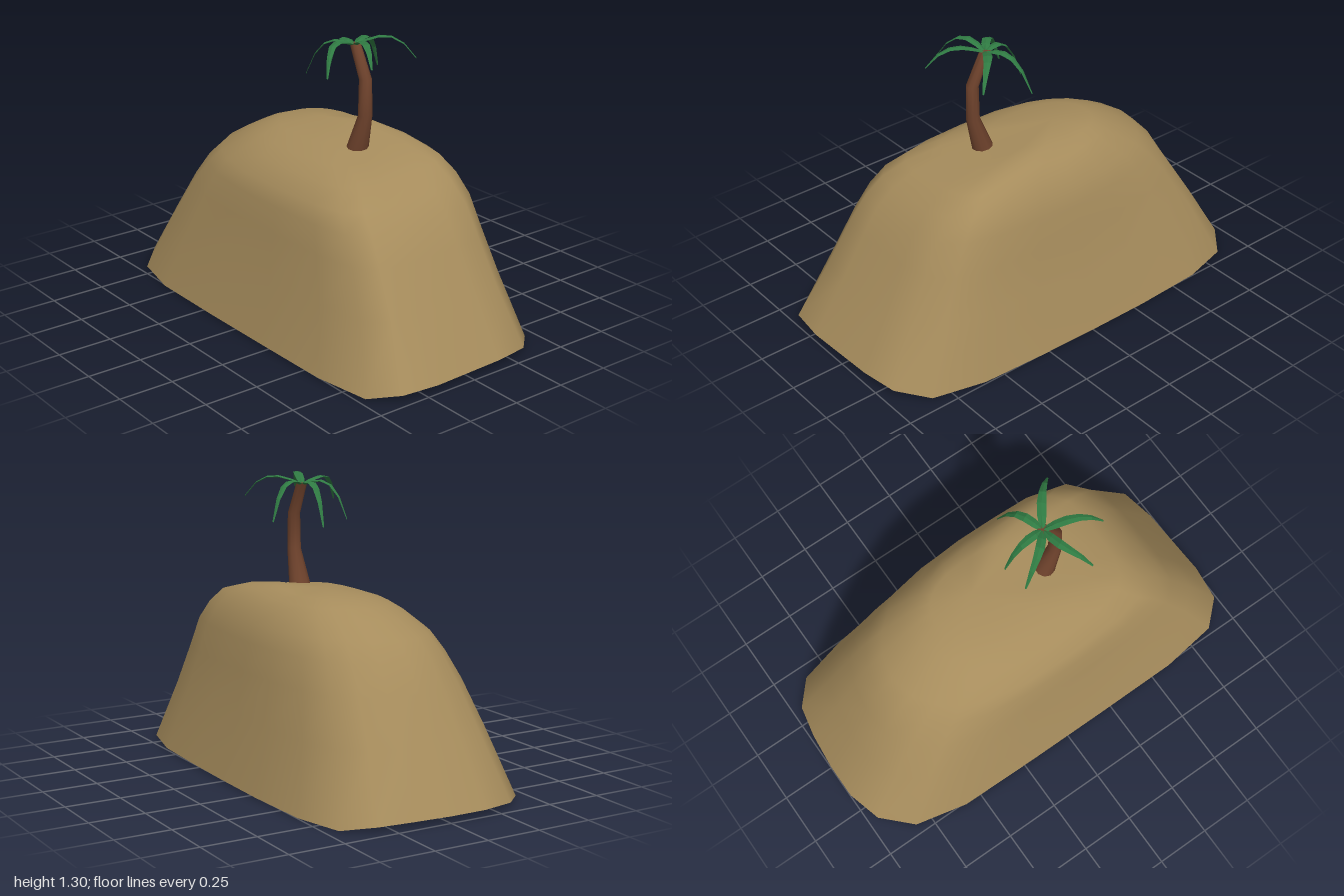
import * as THREE from 'three';
import { mergeVertices, toCreasedNormals } from 'three/addons/utils/BufferGeometryUtils.js';

// Skin a list of cross-sections (each an equal-length list of Vector3)
function loft(rings) {
  const n = rings[0].length;
  const pos = rings.flat().flatMap((p) => [p.x, p.y, p.z]);
  const index = [];
  for (let i = 0; i < rings.length - 1; i++) {
    for (let j = 0; j < n; j++) {
      const a = i * n + j, b = i * n + ((j + 1) % n), c = a + n, d = b + n;
      index.push(a, c, b, b, c, d);
    }
  }
  const g = new THREE.BufferGeometry();
  g.setAttribute('position', new THREE.Float32BufferAttribute(pos, 3));
  g.setIndex(index);
  const merged = mergeVertices(g, 1e-5);
  merged.computeVertexNormals();
  return merged;
}

// Ground outline of the mound, as x, z pairs
const HALF_WIDTH = 0.515;
const OUTLINE = [
  [0, -1], [0.17, -0.985], [0.32, -0.955], [0.44, -0.855], [0.498, -0.63], [0.514, -0.3],
  [0.515, 0], [0.51, 0.3], [0.498, 0.6], [0.44, 0.84], [0.32, 0.955], [0.15, 0.985],
  [-0.2, 1], [-0.37, 0.98], [-0.475, 0.87], [-0.512, 0.6], [-0.515, 0.2], [-0.515, -0.2],
  [-0.51, -0.58], [-0.455, -0.825], [-0.33, -0.955], [-0.17, -1],
];

// Open shell of rings; the back corners round off with height
function mound() {
  // half width, half length, height, centre x, centre z, sideways tilt, rounding
  const levels = [
    [0.515, 1, 0, 0, 0, 0, 0],
    [0.443, 0.86, 0.29, 0, 0, 0, 0.15],
    [0.41, 0.757, 0.48, 0, 0, 0, 0.4],
    [0.387, 0.685, 0.6, 0, 0, 0.02, 0.65],
    [0.362, 0.605, 0.677, 0, 0, 0.03, 0.8],
    [0.307, 0.505, 0.744, 0.015, 0.01, 0.03, 0.9],
    [0.25, 0.385, 0.784, 0.03, -0.03, 0.03, 0.9],
    [0.17, 0.23, 0.814, 0.05, -0.1, 0.03, 0.9],
    [0, 0, 0.84, 0.07, -0.13, 0, 0],
  ];
  const rings = levels.map(([w, l, h, cx, cz, tilt, round], i) => OUTLINE.map(([ox, oz]) => {
    const u = ox / HALF_WIDTH;
    const corner = oz < 0 ? round : u < 0 ? round * 0.25 : 0;
    const k = THREE.MathUtils.lerp(1, 1 / Math.hypot(u, oz), corner);
    // the rim lifts at both ends, the front left shoulder stays high
    const rim = i === 0
      ? 0.005 * (1 + oz) + 0.03 * THREE.MathUtils.smoothstep(Math.abs(oz), 0.85, 1) : 0;
    const shoulder = u > 0 && oz > 0 ? tilt * u * oz : 0;
    const x = cx + u * w * k;
    return new THREE.Vector3(x, h + rim + tilt * x + shoulder, cz + oz * l * k);
  }));
  return loft(rings);
}

// Bent, tapering trunk: z, height and radius per ring, closed at both ends
function trunk() {
  const sides = 10;
  const levels = [
    [0.208, 0.79, 0], [0.208, 0.79, 0.05], [0.263, 0.96, 0.031],
    [0.263, 1.12, 0.028], [0.192, 1.262, 0.024], [0.192, 1.262, 0],
  ];
  const rings = levels.map(([z, y, r]) => Array.from({ length: sides }, (_, j) => {
    const a = (j / sides) * Math.PI * 2;
    return new THREE.Vector3(0.002 + Math.cos(a) * r, y, z + Math.sin(a) * r);
  }));
  return toCreasedNormals(loft(rings), 0.8);
}

// Arching frond from the crown to a tip, bowed sideways
function frond(tipX, tipY, tipZ, bow) {
  const root = new THREE.Vector3(0, 1.254, 0.19);
  const dir = new THREE.Vector3(tipX, 0, tipZ - root.z);
  const length = dir.length();
  dir.normalize();
  const side = new THREE.Vector3(dir.z, 0, -dir.x);
  const rise = 0.12 - (1.2 - tipY) * 0.4;
  const widths = [0.01, 0.019, 0.02, 0.016, 0.011, 0.004];
  const rings = widths.map((w, i) => {
    const s = i / (widths.length - 1);
    const centre = root.clone()
      .addScaledVector(dir, s * length)
      .addScaledVector(side, bow * Math.sin(s * Math.PI));
    centre.y += rise * s - (rise + root.y - tipY) * s ** 3;
    const t = 0.006 * (1 - 0.5 * s);
    return [[t, 0], [0, w], [-t, 0], [0, -w]].map(([up, across]) => {
      const p = centre.clone().addScaledVector(side, across);
      p.y += up;
      return p;
    });
  });
  return loft(rings);
}

export function createModel() {
  const group = new THREE.Group();
  const add = (name, geometry, options, parent = group) => {
    const mesh = new THREE.Mesh(geometry, new THREE.MeshStandardMaterial(options));
    mesh.name = name;
    parent.add(mesh);
  };

  add('sandMound', mound(), { color: 0xa68c5c, side: THREE.DoubleSide });

  const palm = new THREE.Group();
  palm.name = 'palmTree';
  group.add(palm);
  add('trunk', trunk(), { color: 0x6e422c }, palm);

  // Frond tips: x, y, z and sideways bow
  const tips = [
    [0.003, 1.085, 0, 0.006], [0.2, 1.11, 0.1, -0.006], [0.2, 1.2, 0.36, 0.015],
    [-0.1, 1.22, 0.43, 0.006], [-0.223, 1.17, 0.29, -0.03], [-0.127, 1.11, 0.015, 0.018],
  ];
  tips.forEach((t, i) => add(`frond${i + 1}`, frond(...t),
    { color: 0x2f7a42, flatShading: true, side: THREE.DoubleSide }, palm));
  return group;
}
